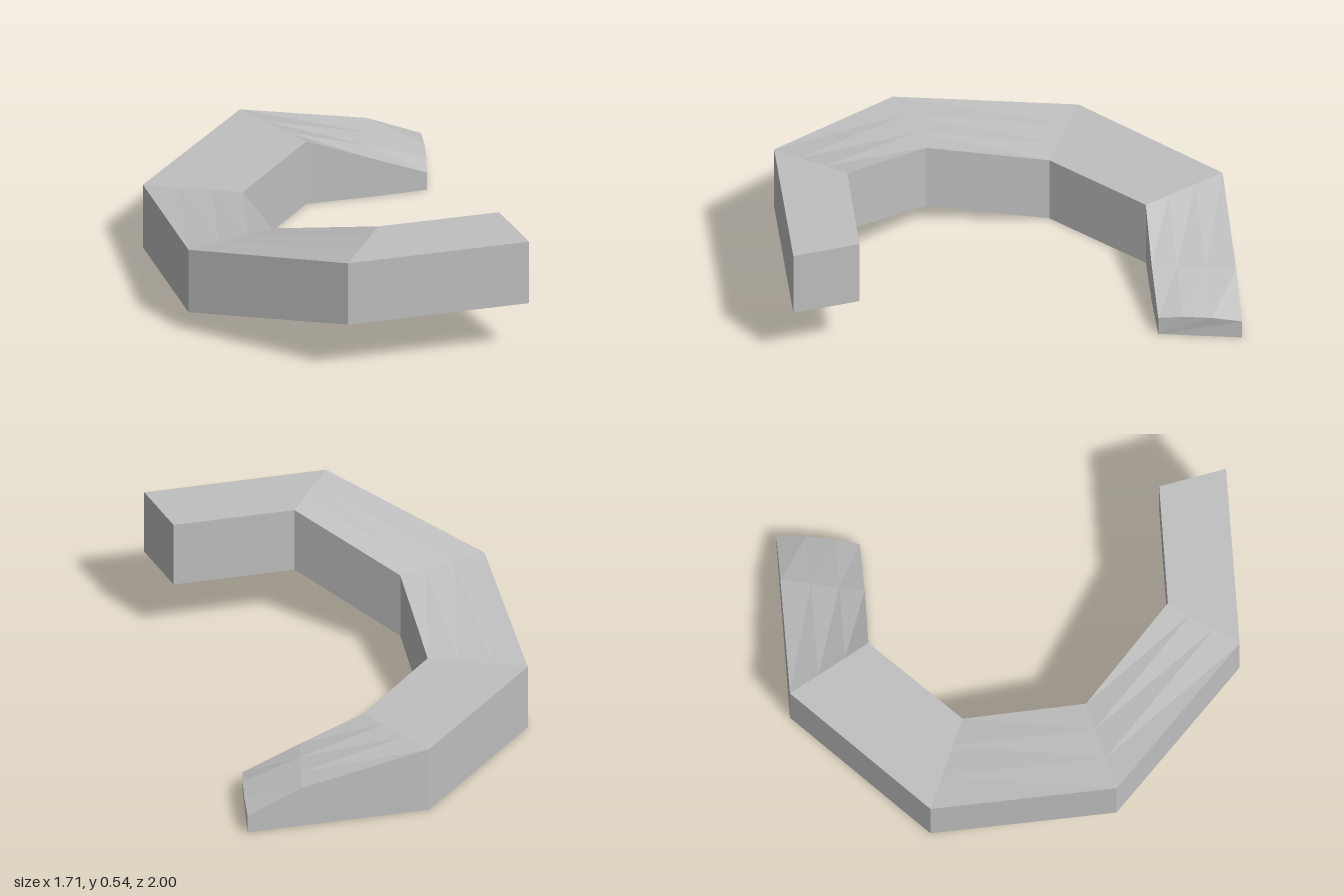
import * as THREE from 'three';

// Cross-sections along the curved ramp:
// inner x, z | outer x, z | bottom y | top y | bulge of the top edge
const SECTIONS = [
  [0.69, 0.47, 0.85, 0.705, 0.25, 0.535, 0],
  [0.22, 0.665, 0.145, 1.0, 0.25, 0.535, 0],
  [-0.25, 0.47, -0.56, 0.705, 0.095, 0.385, 0],
  [-0.44, 0, -0.855, 0, 0, 0.29, 0],
  [-0.25, -0.47, -0.56, -0.705, 0, 0.29, 0],
  [0, -0.57, -0.065, -0.912, 0, 0.18, 0],
  [0.22, -0.665, 0.145, -1.0, 0, 0.08, 0.015],
];

// Ring: bottom inner, bottom outer, then across the top from outer to inner
function ring([ix, iz, ox, oz, y0, y1, bulge]) {
  const points = [[ix, y0, iz], [ox, y0, oz]];
  for (const [t, lift] of [[0, 0], [0.36, 1], [0.7, 1], [1, 0]]) {
    points.push([ox + (ix - ox) * t + bulge * lift * 0.4, y1 + bulge * lift, oz + (iz - oz) * t]);
  }
  return points;
}

function loft(rings) {
  const positions = [];
  const tri = (a, b, c) => positions.push(...a, ...b, ...c);
  const n = rings[0].length;
  for (let i = 0; i < rings.length - 1; i++) {
    for (let j = 0; j < n; j++) {
      const k = (j + 1) % n;
      const a = rings[i][j], b = rings[i][k], c = rings[i + 1][k], d = rings[i + 1][j];
      tri(a, b, c);
      tri(a, c, d);
    }
  }
  // End caps
  const first = rings[0], last = rings[rings.length - 1];
  for (let j = 1; j < n - 1; j++) {
    tri(first[0], first[j + 1], first[j]);
    tri(last[0], last[j], last[j + 1]);
  }
  const geometry = new THREE.BufferGeometry();
  geometry.setAttribute('position', new THREE.Float32BufferAttribute(positions, 3));
  geometry.computeVertexNormals();
  return geometry;
}

export function createModel() {
  const group = new THREE.Group();
  group.name = 'curvedRamp';
  const grey = new THREE.MeshStandardMaterial({ color: 0xbfbfbf, flatShading: true });
  grey.name = 'light grey';
  const body = new THREE.Mesh(loft(SECTIONS.map(ring)), grey);
  body.name = 'rampBody';
  group.add(body);
  return group;
}
